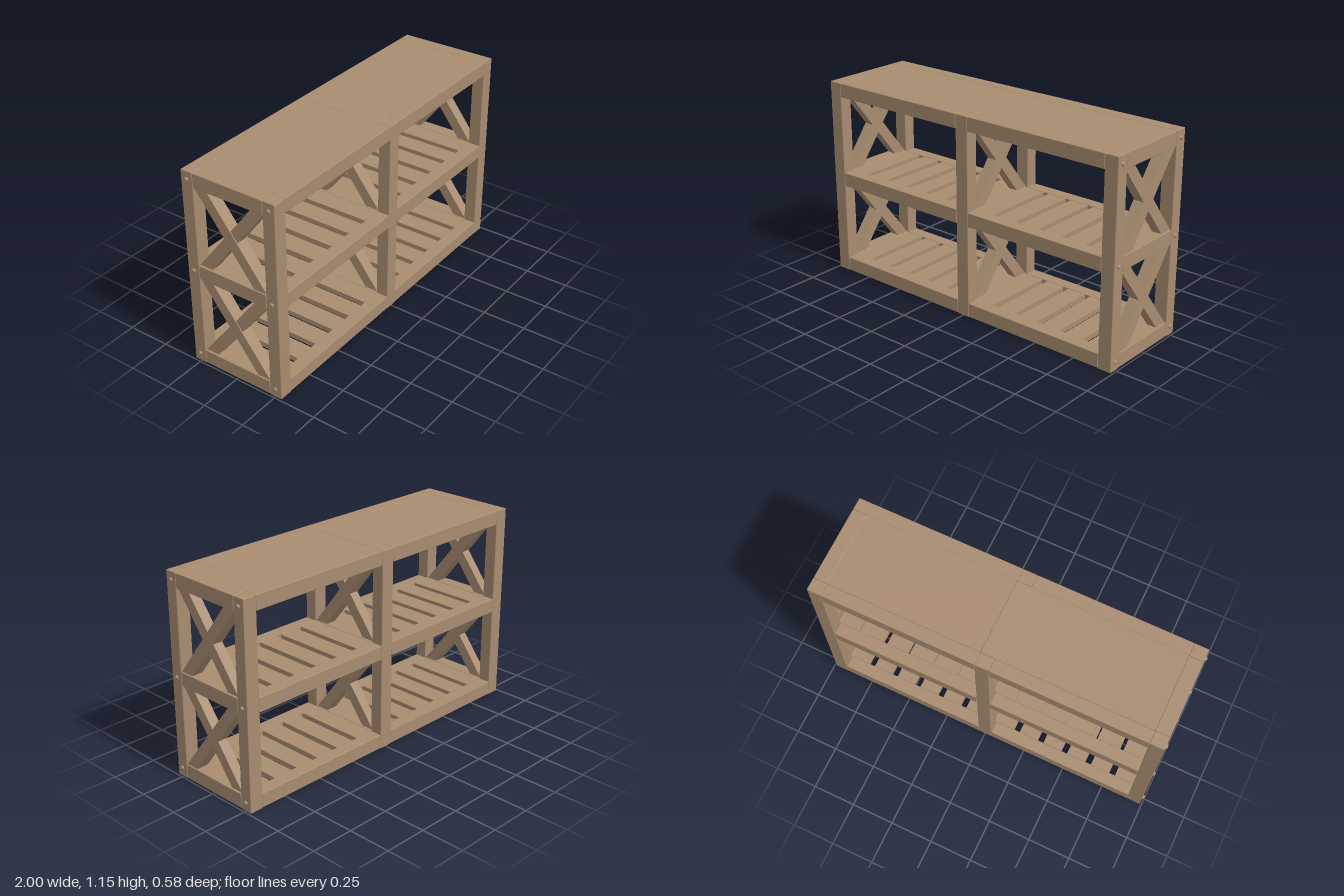
import * as THREE from 'three';
import { RoundedBoxGeometry } from 'three/addons/geometries/RoundedBoxGeometry.js';

export function createModel() {
  const model = new THREE.Group();
  model.name = 'shelfUnit';
  const wood = new THREE.MeshStandardMaterial({ color: 0xa88c70 });
  wood.name = 'wood';

  const H = 1.155, BEAM = 0.08, POST_Z = 0.253, POST_D = 0.073, INNER_Z = 0.216;
  const frames = [-0.95, 0, 0.95];            // x of the three upright frames
  const levels = [0.044, 0.579, 1.114];       // y centres of the rails
  const RAIL_H = 0.082;

  function add(name, geometry, x, y, z, parent = model) {
    const mesh = new THREE.Mesh(geometry, wood);
    mesh.name = name;
    mesh.position.set(x, y, z);
    parent.add(mesh);
    return mesh;
  }
  const beam = (w, h, d) => new RoundedBoxGeometry(w, h, d, 2, 0.004);

  // Diagonal brace: a parallelogram between two rails, dir = 1 or -1
  function brace(y0, y1, dir, thickness) {
    const s = new THREE.Shape();
    const a = INNER_Z, b = INNER_Z - 0.08;
    // shape x becomes -z after the quarter turn about y
    s.moveTo(-a * dir, y0);
    s.lineTo(-b * dir, y0);
    s.lineTo(a * dir, y1);
    s.lineTo(b * dir, y1);
    s.closePath();
    const g = new THREE.ExtrudeGeometry(s, { depth: thickness, bevelEnabled: false });
    g.translate(0, 0, -thickness / 2);
    g.rotateY(Math.PI / 2);
    return g;
  }

  // Upright frames: posts, cross rails and X braces
  for (const x of frames) {
    const frame = new THREE.Group();
    frame.name = x === 0 ? 'middleFrame' : x > 0 ? 'leftFrame' : 'rightFrame';
    frame.position.x = x;
    model.add(frame);
    for (const s of [-1, 1]) add('post', beam(BEAM, H, POST_D), 0, H / 2, s * POST_Z, frame);
    for (const y of levels) add('crossRail', beam(BEAM, RAIL_H, INNER_Z * 2), 0, y, 0, frame);
    for (let i = 0; i < 2; i++) {
      const y0 = levels[i] + RAIL_H / 2, y1 = levels[i + 1] - RAIL_H / 2;
      add('frontBrace', brace(y0, y1, 1, 0.066), 0, 0, 0, frame);
      add('backBrace', brace(y0, y1, -1, 0.056), 0, 0, 0, frame);
    }
  }

  // Domed bolt heads on the outer faces of the end posts
  const bolt = new THREE.SphereGeometry(0.0125, 16, 8, 0, Math.PI * 2, 0, Math.PI / 2);
  bolt.scale(1, 0.8, 1);
  for (const side of [-1, 1])
    for (const s of [-1, 1])
      for (const y of [0.05, 0.577, 1.11]) {
        const head = add('boltHead', bolt, side * 0.99, y, s * POST_Z);
        head.rotation.z = -side * Math.PI / 2;
      }

  // Two bays: long rails, slatted shelves and a solid top
  const bayW = 0.87, slats = 6, gap = 0.036;
  const slatW = (bayW - gap * (slats - 1)) / slats;
  for (const side of [-1, 1]) {
    const cx = side * 0.475;
    for (const y of levels)
      for (const s of [-1, 1])
        add('longRail', beam(bayW, RAIL_H, POST_D), cx, y, s * POST_Z);
    for (const y of levels.slice(0, 2))
      for (let i = 0; i < slats; i++)
        add('slat', new THREE.BoxGeometry(slatW, 0.03, INNER_Z * 2),
          cx - bayW / 2 + slatW / 2 + i * (slatW + gap), y + RAIL_H / 2 - 0.018, 0);
    add('topPanel', new THREE.BoxGeometry(bayW, 0.03, INNER_Z * 2), cx, H - 0.017, 0);
  }
  return model;
}
